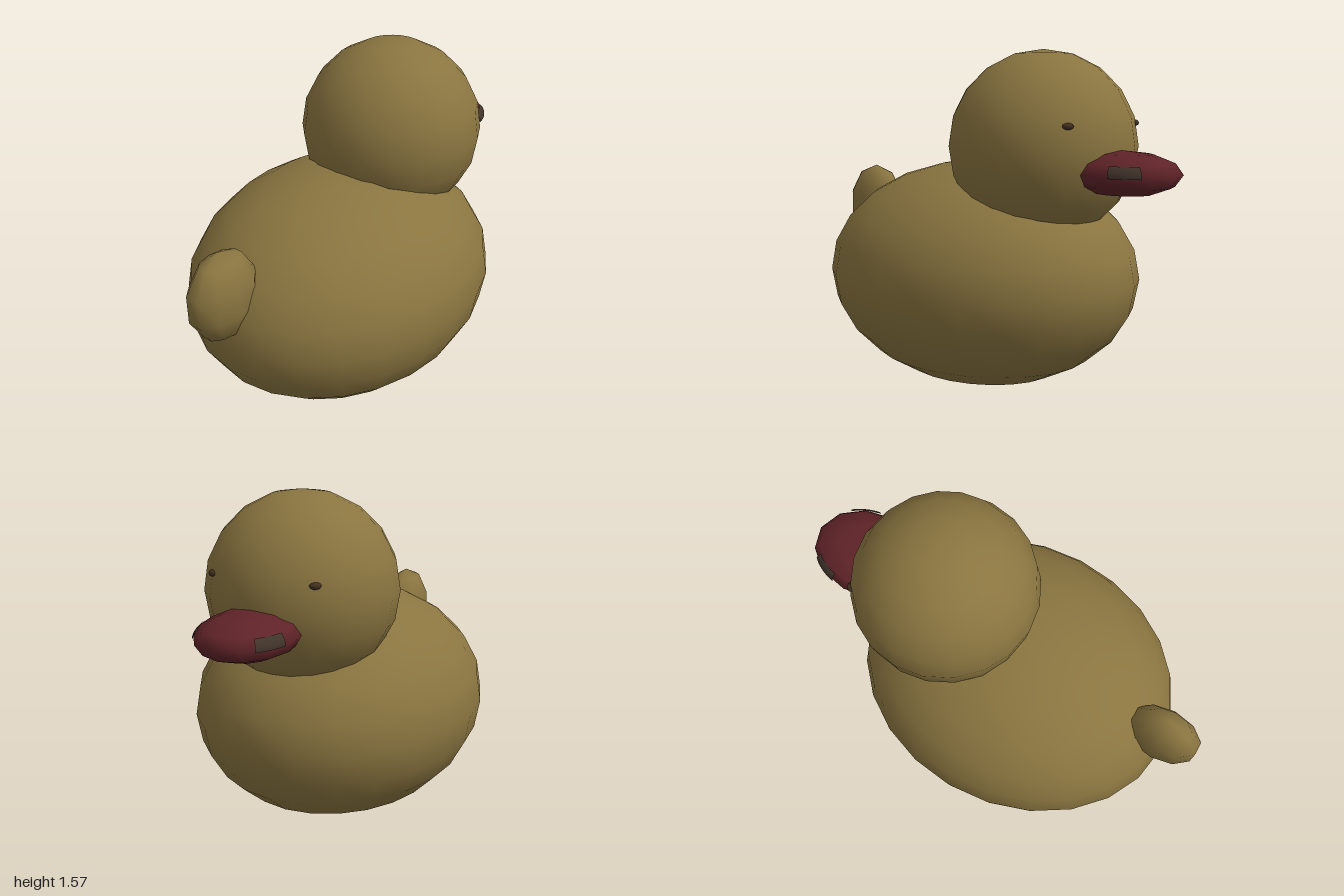
import * as THREE from 'three';

const paint = (name, color, extra = {}) => {
  const m = new THREE.MeshStandardMaterial({ color, ...extra });
  m.name = name;
  return m;
};

export function createModel() {
  const duck = new THREE.Group();
  duck.name = 'duck';

  const olive = paint('olive yellow', 0x8a7540);
  const red = paint('dark red', 0x5f2328);
  const brown = paint('dark brown', 0x43301f);
  const grey = paint('nostril grey', 0x40332a, { side: THREE.DoubleSide });

  // Stretched sphere; args are the remaining SphereGeometry parameters
  const ellipsoid = (name, material, centre, radii, ...args) => {
    const mesh = new THREE.Mesh(new THREE.SphereGeometry(1, ...args), material);
    mesh.name = name;
    mesh.position.set(...centre);
    mesh.scale.set(...radii);
    duck.add(mesh);
    return mesh;
  };
  const rad = THREE.MathUtils.degToRad;

  // Body and head
  ellipsoid('body', olive, [-0.07, 0.533, 0], [0.795, 0.53, 0.66], 24, 12);
  ellipsoid('head', olive, [0.307, 1.152, 0], [0.423, 0.423, 0.425], 20, 10);

  // Upright, narrow tail
  ellipsoid('tail', olive, [-0.835, 0.785, 0], [0.183, 0.21, 0.11], 10, 5, rad(18));

  // Flat bill
  const billCentre = [0.735, 1.055, 0];
  const billRadii = [0.265, 0.096, 0.208];
  ellipsoid('bill', red, billCentre, billRadii, 12, 6);

  // Paired nostril patches on the bill and small eyes on the head
  for (const side of [1, -1]) {
    const start = side > 0 ? 104 : 224;
    ellipsoid(side > 0 ? 'leftNostril' : 'rightNostril', grey, billCentre, billRadii,
      6, 4, rad(start), rad(32), rad(62), rad(30));

    const eye = ellipsoid(side > 0 ? 'leftEye' : 'rightEye', brown,
      [0.63, 1.254, side * 0.238], [0.022, 0.015, 0.026], 8, 6);
    eye.rotation.y = -side * 0.63;
  }

  return duck;
}
